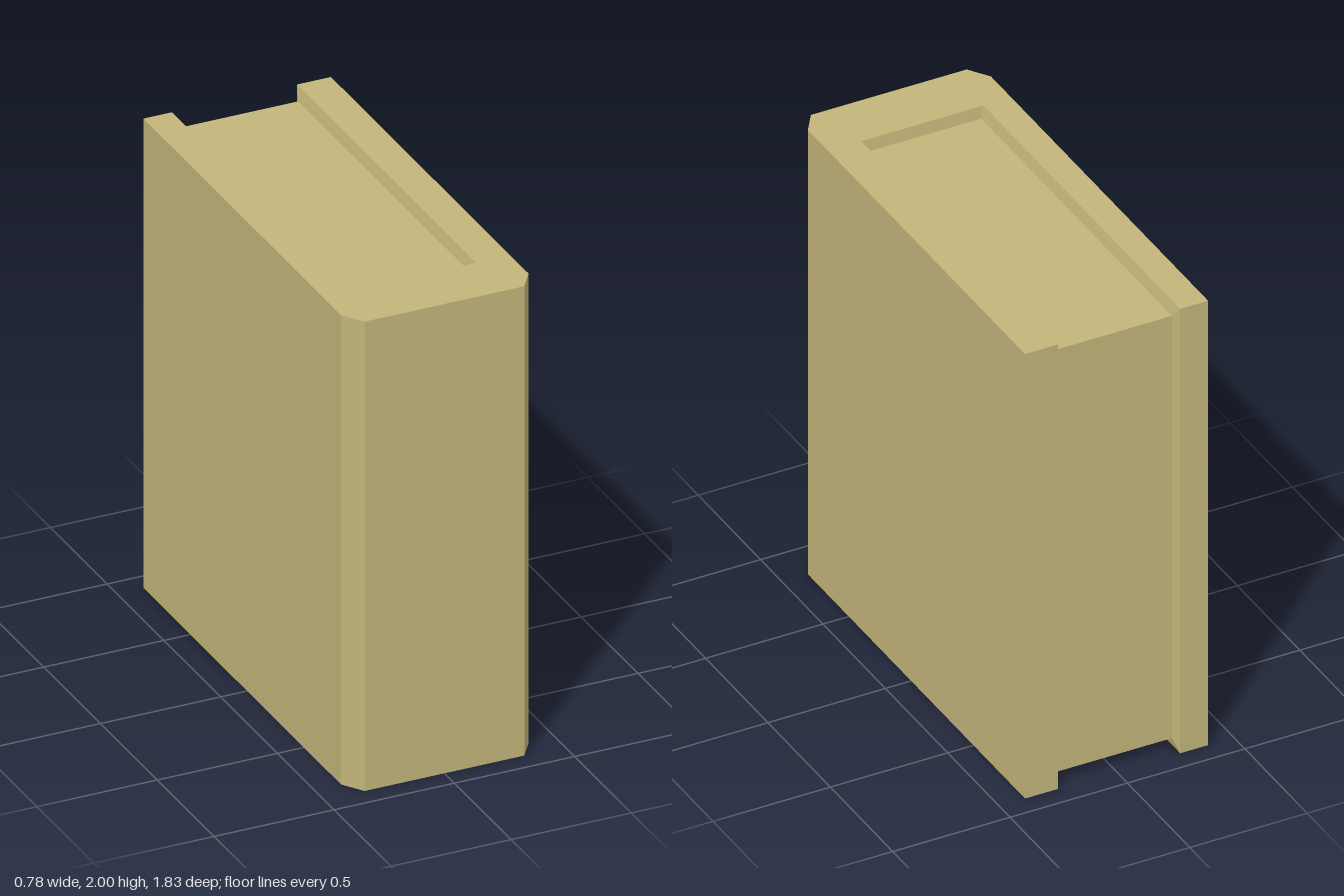
import * as THREE from 'three';

const HEIGHT = 2, INSET = 0.05, BACK = -0.913;

// Plan outline [x, z] from left-hand back edge round the spine to the other back edge
const outer = [[-0.39, BACK], [-0.39, 0.828], [-0.332, 0.913], [0.332, 0.913], [0.39, 0.828], [0.39, BACK]];
// Rim of the opening, and the edge of the sunken page block, paired with the outline
const rimA = [-0.271, 0.665], rimB = [0.249, 0.665];
const rim = [[-0.271, BACK], rimA, rimA, rimB, rimB, [0.249, BACK]];
const pageA = [-0.257, 0.657], pageB = [0.235, 0.657];
const page = [[-0.257, -0.874], pageA, pageA, pageB, pageB, [0.235, -0.874]];

const at = ([x, z], y) => new THREE.Vector3(x, y, z);

// Flat-faced mesh from quads given anticlockwise; collapsed triangles are dropped
function quadMesh(name, quads, material) {
  const points = [];
  for (const [a, b, c, d] of quads) {
    for (const t of [[a, b, c], [a, c, d]]) {
      if (new THREE.Triangle(...t).getArea() > 1e-7) points.push(...t);
    }
  }
  const geometry = new THREE.BufferGeometry().setFromPoints(points);
  geometry.computeVertexNormals();
  const mesh = new THREE.Mesh(geometry, material);
  mesh.name = name;
  return mesh;
}

export function createModel() {
  const book = new THREE.Group();
  book.name = 'book';
  const material = new THREE.MeshStandardMaterial({ color: 0xc2b47a, flatShading: true });

  // Cross-sections: page bottom, rim bottom, cover bottom, cover top, rim top, page top
  const sections = outer.map((o, i) => [
    at(page[i], INSET), at(rim[i], 0), at(o, 0),
    at(o, HEIGHT), at(rim[i], HEIGHT), at(page[i], HEIGHT - INSET),
  ]);
  const first = sections[0], last = sections[5];

  const cover = [], gutter = [];
  for (let j = 0; j < 5; j++) {
    for (let k = 0; k < 5; k++) {
      const s = sections[j], t = sections[j + 1];
      const target = k === 0 || k === 4 ? gutter : cover;
      target.push([s[k], t[k], t[k + 1], s[k + 1]]);
    }
  }

  // Back edges of the two boards and the slopes beside the pages
  const pick = (s, ids) => ids.map((i) => s[i]);
  cover.push(pick(first, [1, 2, 3, 4]), pick(last, [4, 3, 2, 1]));
  gutter.push(pick(first, [0, 1, 4, 5]), pick(last, [5, 4, 1, 0]));

  // Page block: top, bottom and back faces
  const [a, b, c, d] = [sections[0], sections[1], sections[3], sections[5]];
  const pages = [
    [a[5], b[5], c[5], d[5]],
    [d[0], c[0], b[0], a[0]],
    [d[0], a[0], a[5], d[5]],
  ];

  book.add(
    quadMesh('cover', cover, material),
    quadMesh('coverInnerEdge', gutter, material),
    quadMesh('pages', pages, material),
  );
  return book;
}
